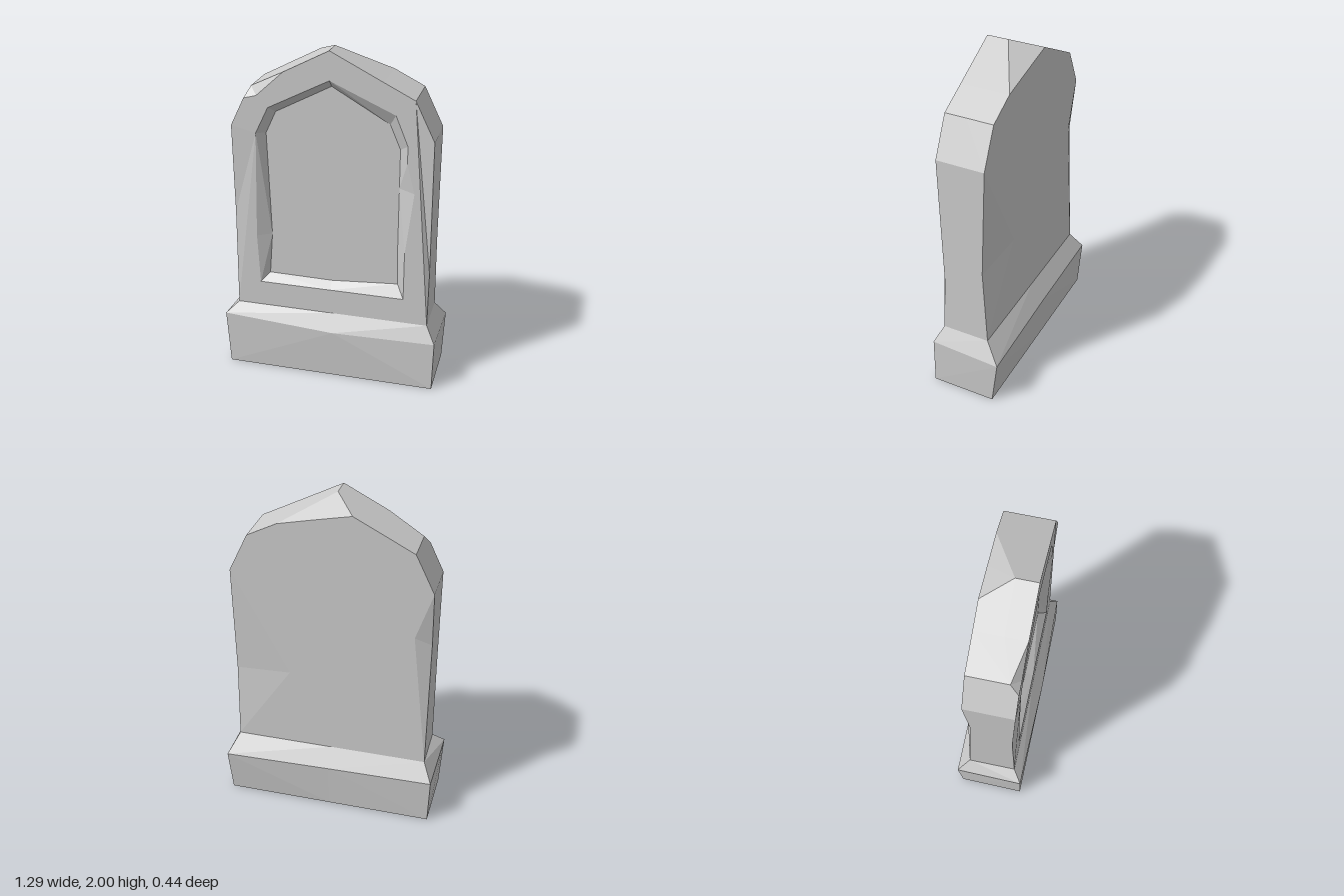
import * as THREE from 'three';

const V = (x, y, z) => new THREE.Vector3(x, y, z);
const FRONT = 0.155, MID = 0.03, BACK = -0.13, FLOOR = 0.105;
const ring = (pts, z) => pts.map((p) => V(p[0], p[1], p[2] ?? z));

// Quad split along the diagonal that keeps the surface convex
function quad(out, a, b, c, d) {
  const n = b.clone().sub(a).cross(c.clone().sub(a));
  if (n.dot(d.clone().sub(a)) <= 1e-9) out.push(a, b, c, a, c, d);
  else out.push(a, b, d, b, c, d);
}

// Closed band of quads between two rings with matching points
function band(out, upper, lower) {
  upper.forEach((p, i) => {
    const j = (i + 1) % upper.length;
    quad(out, lower[i], lower[j], upper[j], p);
  });
}

// Face filling a ring in the xy plane, facing +z (dir 1) or -z (dir -1)
function cap(out, outer, hole, dir) {
  const flat = (r) => r.map((p) => new THREE.Vector2(p.x, p.y));
  const all = outer.concat(hole);
  const tris = THREE.ShapeUtils.triangulateShape(flat(outer), hole.length ? [flat(hole)] : []);
  for (const t of tris) {
    const [a, b, c] = t.map((i) => all[i]);
    const area = (b.x - a.x) * (c.y - a.y) - (b.y - a.y) * (c.x - a.x);
    if (area * dir > 0) out.push(a, b, c);
    else out.push(a, c, b);
  }
}

function part(name, points) {
  const geometry = new THREE.BufferGeometry().setFromPoints(points);
  geometry.computeVertexNormals();
  const mesh = new THREE.Mesh(geometry, new THREE.MeshStandardMaterial({ color: 0xcccccc, flatShading: true }));
  mesh.name = name;
  return mesh;
}

function makeSlab(opening) {
  // Outline, anticlockwise from the bottom right: front, middle and back rings
  const front = ring([
    [0.585, 0.4], [0.585, 0.73, 0.135], [0.585, 1.535], [0.475, 1.76], [0.3, 1.848], [0, 2],
    [-0.12, 1.938], [-0.26, 1.866], [-0.42, 1.72], [-0.495, 1.7], [-0.575, 1.535],
    [-0.575, 1.0, 0.14], [-0.575, 0.4],
  ], FRONT);
  const middle = front.map((p) => V(p.x, p.y, MID));
  const back = front.map((p) => V(p.x, p.y, BACK));
  // Chip at the upper left front corner
  middle[8].set(-0.465, 1.76, 0.105);
  back[8].set(-0.465, 1.76, BACK);
  // Chip behind the peak
  back[5].set(0.09, 1.894, BACK);
  // Worn back edges
  back[1].set(0.585, 0.87, -0.105);
  back[11].set(-0.575, 1.2, -0.097);

  const out = [];
  band(out, front, middle);
  band(out, middle, back);
  cap(out, front, opening, 1);
  // Back face, with a shallow facet towards each worn edge
  const inner = back.slice();
  inner[1] = V(0.25, 0.9, BACK);
  inner[11] = V(-0.48, 1.25, BACK);
  cap(out, inner, [], -1);
  for (const i of [1, 11]) {
    out.push(back[i - 1], inner[i], back[i], back[i], inner[i], back[i + 1]);
  }
  return part('slab', out);
}

function makeRecess(opening) {
  const floor = ring([
    [0.395, 0.625], [0.39, 0.85], [0.39, 1.23], [0.39, 1.4], [0.39, 1.46], [0.33, 1.6], [0, 1.79],
    [-0.325, 1.62], [-0.385, 1.49], [-0.365, 0.86], [-0.385, 0.6], [0, 0.595],
  ], FLOOR);
  const walls = [], panel = [];
  band(walls, floor, opening);
  cap(panel, floor, [], 1);
  const group = new THREE.Group();
  group.name = 'recess';
  group.add(part('recessWalls', walls), part('recessPanel', panel));
  return group;
}

function makePlinth() {
  // Rings from front left, anticlockwise seen from above
  const bottom = [V(-0.625, 0, 0.205), V(0, 0, 0.205), V(0.635, 0, 0.205),
    V(0.635, 0, -0.18), V(0, 0, -0.18), V(-0.62, 0, -0.18)];
  const shoulder = [V(-0.645, 0.335, 0.207), V(0.03, 0.3, 0.218), V(0.64, 0.303, 0.2),
    V(0.645, 0.285, -0.22), V(0, 0.288, -0.205), V(-0.63, 0.295, -0.2)];
  const top = [V(-0.575, 0.4, FRONT), V(0.02, 0.4, FRONT), V(0.585, 0.4, FRONT),
    V(0.585, 0.4, BACK), V(0, 0.4, BACK), V(-0.575, 0.4, BACK)];
  const out = [];
  band(out, shoulder, bottom);
  band(out, top, shoulder);
  for (let i = 1; i < 5; i++) out.push(bottom[0], bottom[i + 1], bottom[i]);
  return part('plinth', out);
}

export function createModel() {
  const model = new THREE.Group();
  model.name = 'gravestone';
  // Rim of the recess, with a chip on its right edge
  const opening = ring([
    [0.44, 0.555], [0.44, 0.85], [0.485, 1.225], [0.44, 1.4], [0.44, 1.5], [0.37, 1.67], [0, 1.835],
    [-0.355, 1.655], [-0.43, 1.5], [-0.445, 0.86], [-0.43, 0.555], [0, 0.555],
  ], FRONT);
  model.add(makeSlab(opening), makeRecess(opening), makePlinth());
  return model;
}
